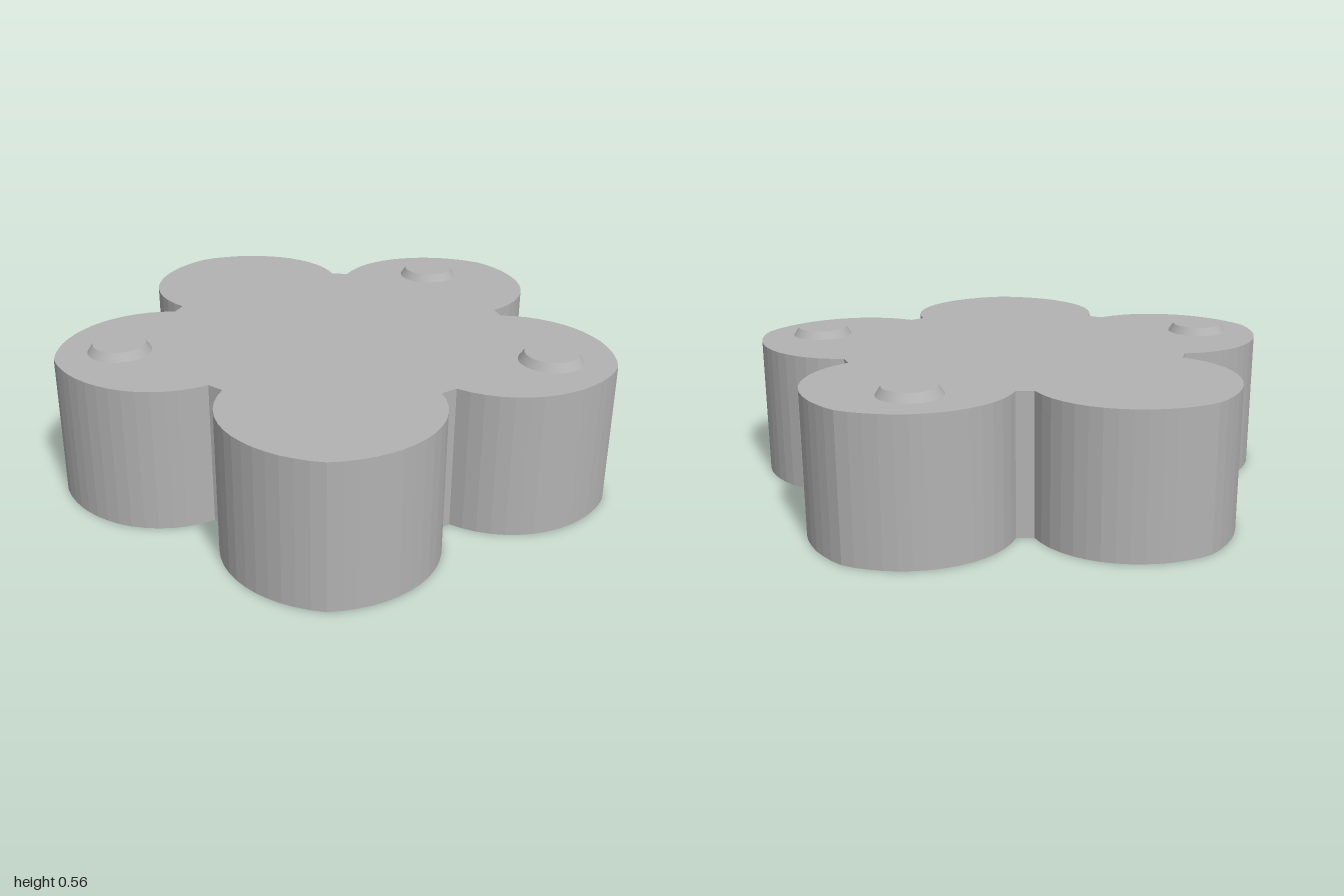
import * as THREE from 'three';

const HEIGHT = 0.525;
const CENTRE_Z = 0.06;
const PETALS = 5;

// Petal radius at every 15 degrees from its tip: slightly pointed, full at the sides
const PETAL_RADII = [0.377, 0.369, 0.366, 0.367, 0.371, 0.375, 0.378, 0.378, 0.378];
const PETAL_SWEEP = 106.5;

function petalRadius(degrees) {
  const t = Math.abs(degrees) / 15;
  const i = Math.min(Math.floor(t), PETAL_RADII.length - 2);
  return THREE.MathUtils.lerp(PETAL_RADII[i], PETAL_RADII[i + 1], t - i);
}

// Five-petalled outline, drawn with +y towards the back
function flowerShape() {
  const points = [];
  const centre = new THREE.Vector2(0, -CENTRE_Z);
  const polar = (angle, r) => new THREE.Vector2(Math.cos(angle) * r, Math.sin(angle) * r);
  const steps = 28;
  for (let p = 0; p < PETALS; p++) {
    const axis = Math.PI / 2 + (p * 2 * Math.PI) / PETALS;
    const petalCentre = polar(axis, 0.66).add(centre);
    for (let i = 0; i <= steps; i++) {
      const deg = -PETAL_SWEEP + (2 * PETAL_SWEEP * i) / steps;
      points.push(polar(axis + THREE.MathUtils.degToRad(deg), petalRadius(deg)).add(petalCentre));
    }
    // Notch between this petal and the next
    points.push(polar(axis + Math.PI / PETALS, 0.66).add(centre));
  }
  return new THREE.Shape(points);
}

export function createModel() {
  const group = new THREE.Group();
  group.name = 'flowerBlock';
  const grey = new THREE.MeshStandardMaterial({ color: 0xb2b2b2 });
  grey.name = 'grey';

  // Flower-shaped slab
  const slab = new THREE.ExtrudeGeometry(flowerShape(), { depth: HEIGHT, bevelEnabled: false });
  slab.rotateX(-Math.PI / 2);
  const body = new THREE.Mesh(slab, grey);
  body.name = 'flowerBody';
  group.add(body);

  // Low tapered studs on three petals
  const studHeight = 0.03;
  const studGeometry = new THREE.CylinderGeometry(0.095, 0.115, studHeight, 40);
  [[-0.757, -0.21], [0.7, -0.26], [0.463, 0.722]].forEach(([x, z], i) => {
    const stud = new THREE.Mesh(studGeometry, grey);
    stud.name = `stud${i + 1}`;
    stud.position.set(x, HEIGHT + studHeight / 2, z);
    group.add(stud);
  });

  return group;
}
